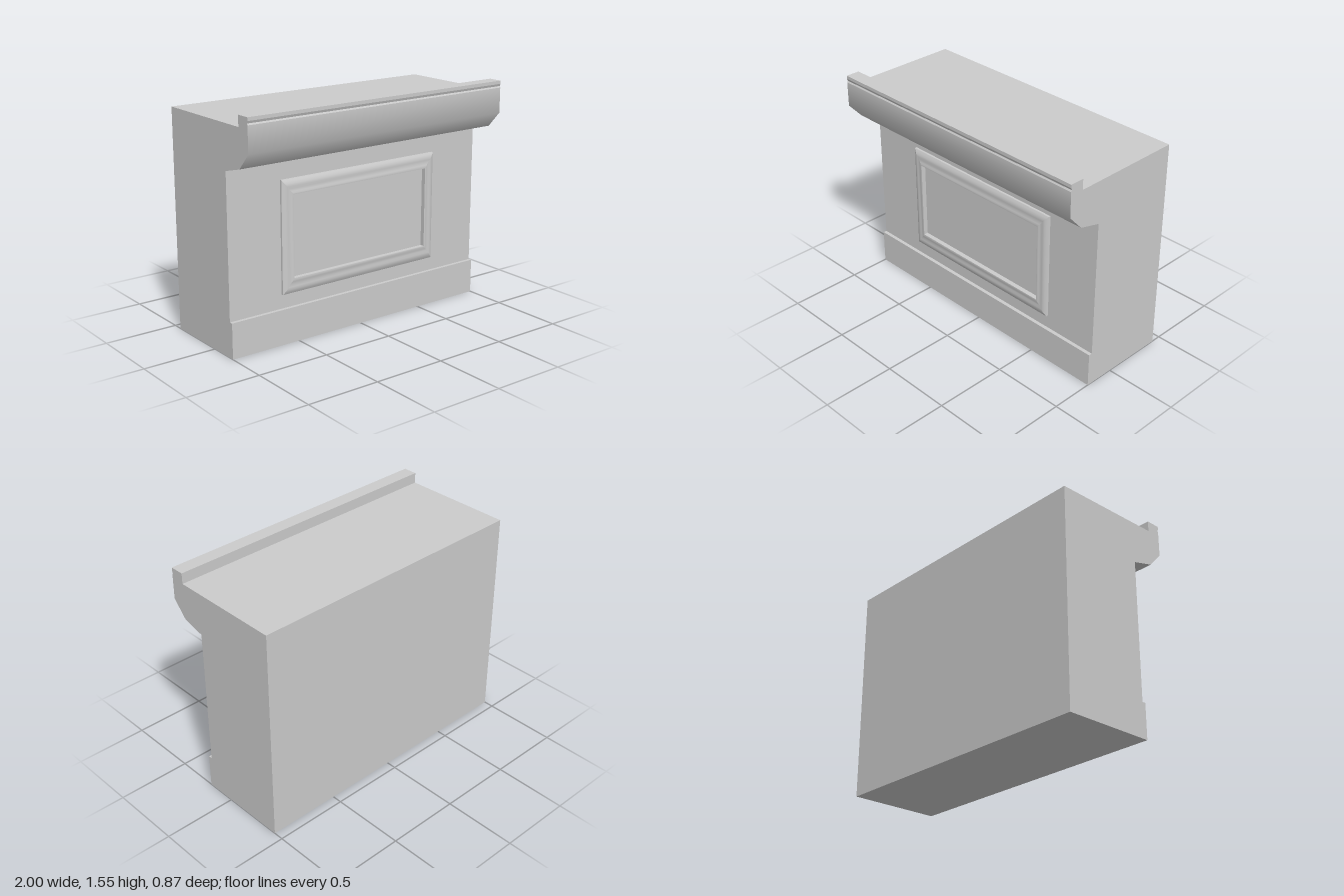
import * as THREE from 'three';

const material = new THREE.MeshStandardMaterial({ color: 0xcccccc });

function addMesh(group, name, geometry) {
  const mesh = new THREE.Mesh(geometry, material);
  mesh.name = name;
  group.add(mesh);
  return mesh;
}

// Sweeps a [z, y] side profile across the full width (x from -1 to 1)
function sweep(profile) {
  const shape = new THREE.Shape(profile.map(([z, y]) => new THREE.Vector2(z, y)));
  const geometry = new THREE.ExtrudeGeometry(shape, { depth: 2, bevelEnabled: false });
  geometry.rotateY(-Math.PI / 2);
  geometry.translate(1, 0, 0);
  return geometry;
}

// One mitred side of the frame; profile points are [inset 0..1, z]
function frameSide(outerA, outerB, innerA, innerB, profile) {
  const positions = [];
  const indices = [];
  profile.forEach(([t, z], i) => {
    for (const [o, n] of [[outerA, innerA], [outerB, innerB]]) {
      positions.push(o[0] + (n[0] - o[0]) * t, o[1] + (n[1] - o[1]) * t, z);
    }
    if (i > 0) {
      const a = 2 * (i - 1);
      indices.push(a, a + 1, a + 3, a, a + 3, a + 2);
    }
  });
  const geometry = new THREE.BufferGeometry();
  geometry.setAttribute('position', new THREE.Float32BufferAttribute(positions, 3));
  geometry.setIndex(indices);
  geometry.computeVertexNormals();
  return geometry;
}

export function createModel() {
  const group = new THREE.Group();

  // Main block and the skirting along its foot
  addMesh(group, 'counterBody', sweep([[-0.433, 0], [0.185, 0], [0.185, 1.48], [-0.433, 1.48]]));
  addMesh(group, 'skirting', sweep([[0.185, 0], [0.21, 0], [0.21, 0.237], [0.185, 0.237]]));

  // Overhanging cornice with a raised lip and a fine groove
  const cornice = sweep([
    [0.185, 1.19], [0.338, 1.23], [0.434, 1.335], [0.434, 1.505], [0.428, 1.515],
    [0.434, 1.53], [0.434, 1.552], [0.337, 1.552], [0.337, 1.48], [0.185, 1.48],
  ]);
  // Soften the bend between the cornice face and its lower slope
  const { position, normal } = cornice.attributes;
  for (let i = 0; i < position.count; i++) {
    const onBend = Math.abs(position.getY(i) - 1.335) < 0.001;
    if (onBend && Math.abs(normal.getX(i)) < 0.5) normal.setXYZ(i, 0, -0.36, 0.93);
  }
  addMesh(group, 'cornice', cornice);

  // Moulded picture-style frame, four mitred sides
  const rect = (x0, x1, y0, y1) => [[x0, y0], [x1, y0], [x1, y1], [x0, y1]];
  const outer = rect(-0.615, 0.62, 0.332, 1.075);
  const inner = rect(-0.535, 0.54, 0.432, 0.977);
  const face = [[0, 0.2], [0.12, 0.206], [0.28, 0.212], [0.45, 0.213], [0.62, 0.211], [0.78, 0.214], [0.9, 0.217], [1, 0.216]];
  const strips = { Edge: [[0, 0.185], [0, 0.2]], Face: face, Rim: [[1, 0.216], [1, 0.185]] };
  const frame = new THREE.Group();
  frame.name = 'panelFrame';
  ['bottom', 'left', 'top', 'right'].forEach((side, k) => {
    const n = (k + 1) % 4;
    for (const [part, profile] of Object.entries(strips)) {
      addMesh(frame, side + 'Frame' + part, frameSide(outer[k], outer[n], inner[k], inner[n], profile));
    }
  });
  group.add(frame);

  return group;
}
